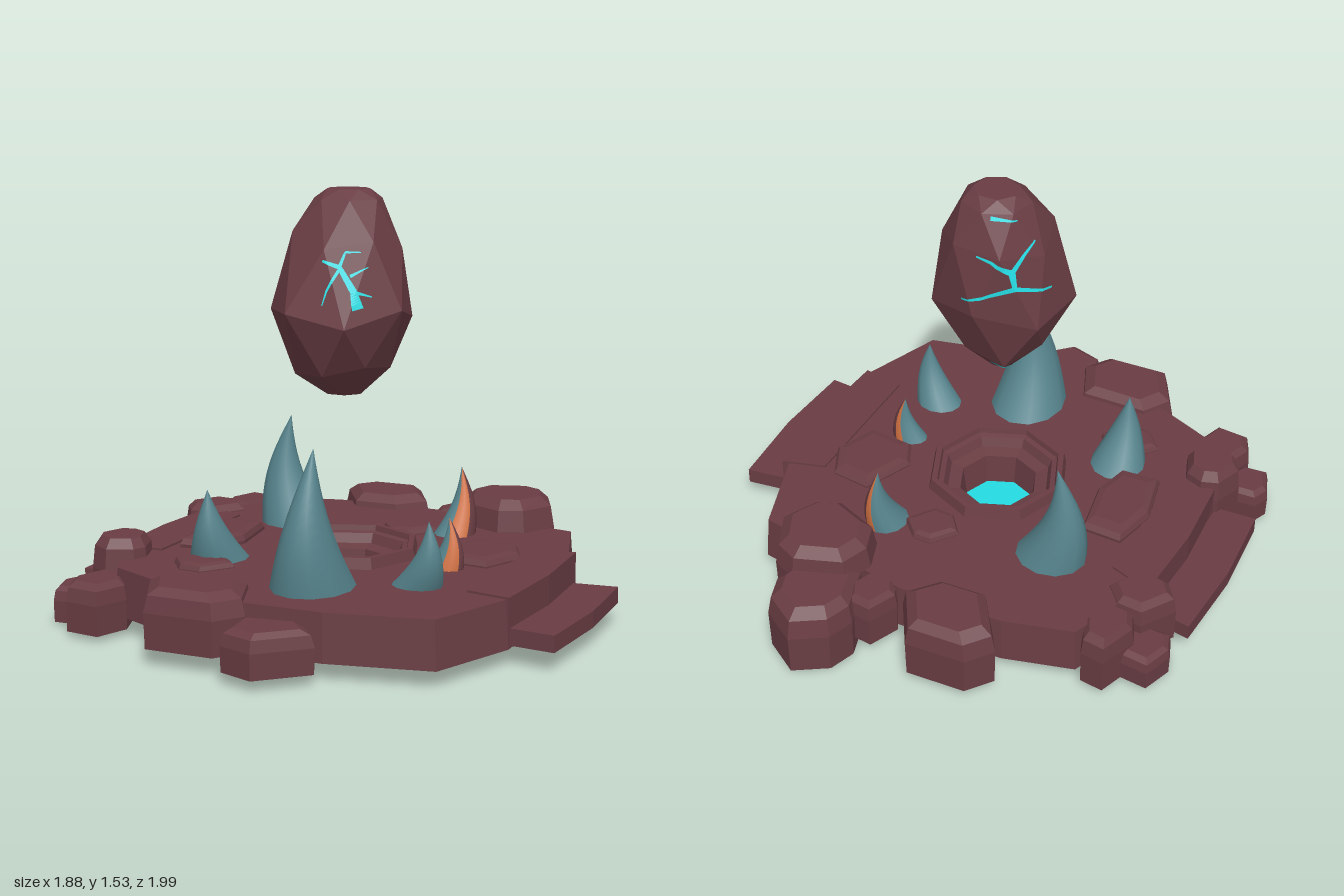
import * as THREE from 'three';
import { ConvexGeometry } from 'three/addons/geometries/ConvexGeometry.js';

const V = (x, y, z) => new THREE.Vector3(x, y, z);

function material(name, color) {
  const m = new THREE.MeshStandardMaterial({ color, side: THREE.DoubleSide });
  m.name = name;
  return m;
}

function geometryFrom(points) {
  const g = new THREE.BufferGeometry().setFromPoints(points);
  g.computeVertexNormals();
  return g;
}

// Faceted block: an outline in x and z stacked at [y, scale] levels, open below
function blockGeometry(outline, levels, capped = true) {
  const pts = outline.map((p) => p.clone());
  if (THREE.ShapeUtils.area(pts) > 0) pts.reverse();
  const n = pts.length, top = levels.length - 1, tris = [];
  const c = pts.reduce((s, p) => s.add(p), new THREE.Vector2()).divideScalar(n);
  const at = (i, l) => {
    const p = pts[i % n], [y, s] = levels[l];
    return V(c.x + (p.x - c.x) * s, y, c.y + (p.y - c.y) * s);
  };
  for (let i = 0; i < n; i++) {
    for (let l = 0; l < top; l++) {
      const a = at(i, l), b = at(i + 1, l), d = at(i, l + 1), e = at(i + 1, l + 1);
      tris.push(a, b, e, a, e, d);
    }
    if (capped) tris.push(at(i, top), at(i + 1, top), V(c.x, levels[top][0], c.y));
  }
  return geometryFrom(tris);
}

// Irregular outline fitted to the given centre and half-sizes
function rockOutline(x, z, rx, rz, sides) {
  const pts = [];
  for (let i = 0; i < sides; i++) {
    const a = ((i + 0.2 * Math.sin(i * 2.3 + x * 9 + z * 5)) / sides) * Math.PI * 2;
    pts.push(new THREE.Vector2(Math.cos(a), Math.sin(a)));
  }
  const box = new THREE.Box2().setFromPoints(pts);
  const mid = box.getCenter(new THREE.Vector2()), size = box.getSize(new THREE.Vector2());
  const scale = new THREE.Vector2(2 * rx, 2 * rz).divide(size);
  return pts.map((p) => p.sub(mid).multiply(scale).add(new THREE.Vector2(x, z)));
}

// Curved horn from base to tip, bowed sideways; one group per side
const SIDES = 12, RINGS = 12;
function hornGeometry([bx, bz], [rx, rz], [tx, ty, tz], [bowX, bowZ], pick) {
  const pts = [], index = [], y0 = 0.19;
  for (let j = 0; j <= RINGS; j++) {
    const t = j / RINGS, bow = Math.sin(Math.PI * t), r = Math.max(0.004, 1 - t);
    for (let i = 0; i < SIDES; i++) {
      const a = (i / SIDES) * Math.PI * 2;
      pts.push(V(bx + (tx - bx) * t + bowX * bow + Math.cos(a) * rx * r,
        y0 + (ty - y0) * t,
        bz + (tz - bz) * t + bowZ * bow + Math.sin(a) * rz * r));
    }
  }
  const g = new THREE.BufferGeometry().setFromPoints(pts);
  for (let i = 0; i < SIDES; i++) {
    for (let j = 0; j < RINGS; j++) {
      const a = j * SIDES + i, b = j * SIDES + (i + 1) % SIDES;
      index.push(a, a + SIDES, b, b, a + SIDES, b + SIDES);
    }
    g.addGroup(i * RINGS * 6, RINGS * 6, pick(i));
  }
  g.setIndex(index);
  g.computeVertexNormals();
  return g;
}

export function createModel() {
  const model = new THREE.Group();
  model.name = 'floatingEggAltar';
  const rock = material('darkRedRock', 0x693d43);
  const horn = material('blueGreyHorn', 0x56838c);
  const ember = material('orangeCore', 0xcf7040);
  const glow = material('cyanGlow', 0x24dce2);
  const add = (name, geometry, mat) => {
    const m = new THREE.Mesh(geometry, mat);
    m.name = name;
    model.add(m);
    return m;
  };

  // Hollow platform slab with a well opening
  const slab = [[-0.62, -0.57], [-0.37, -0.64], [0.03, -0.66], [0.63, -0.57], [0.74, -0.25], [0.75, 0.37], [0.63, 0.68],
    [0.27, 0.77], [-0.05, 0.79], [-0.42, 0.69], [-0.62, 0.61], [-0.76, 0.33], [-0.76, -0.2]].map((p) => new THREE.Vector2(...p));
  add('platformSides', blockGeometry(slab, [[0.06, 1.015], [0.23, 1]], false), rock);
  const shape = new THREE.Shape(slab.map((p) => new THREE.Vector2(p.x, -p.y)));
  const hole = new THREE.Path();
  hole.absarc(0, -0.05, 0.22, 0, Math.PI * 2, true);
  shape.holes.push(hole);
  add('platformTop', new THREE.ShapeGeometry(shape, 4).rotateX(-Math.PI / 2).translate(0, 0.23, 0), rock);

  // Octagonal stepped well with a glowing floor
  const profile = [[0.275, 0.22], [0.262, 0.27], [0.24, 0.27], [0.235, 0.25], [0.215, 0.245], [0.2, 0.21], [0.15, 0.2], [0.135, 0.08]];
  const well = new THREE.LatheGeometry(profile.map((p) => new THREE.Vector2(...p)), 8).toNonIndexed();
  well.computeVertexNormals();
  add('wellRim', well.translate(0, 0, 0.05), rock);
  add('wellGlow', new THREE.CircleGeometry(0.14, 16).rotateX(-Math.PI / 2).translate(0, 0.085, 0.05), glow);

  // Stepped slabs on both sides
  for (const s of [1, -1]) {
    const step = (name, x, y0, y1) => add(name, blockGeometry(
      [[0.6, -0.22], [x, -0.27], [x + 0.02, 0.05], [x, 0.37], [0.6, 0.35]].map(([px, pz]) => new THREE.Vector2(px * s, pz)),
      [[y0, 1], [y1, 1]]), rock);
    step('lowerStep', 0.922, 0.07, 0.13);
    step('upperStep', 0.76, 0.12, 0.238);
  }

  // Rocks: centre x, z, half-sizes x, z, bottom and top
  const addRock = (name, x, z, rx, rz, y0, y1, sides = 6) => {
    const h = y1 - y0;
    add(name, blockGeometry(rockOutline(x, z, rx, rz, sides),
      [[y0, 0.98], [y0 + h * 0.6, 1], [y0 + h * 0.88, 0.92], [y1, 0.7]]), rock);
  };
  addRock('backBlock', -0.2, -0.705, 0.2, 0.145, 0.04, 0.28);
  addRock('backBoulder', 0.285, -0.79, 0.16, 0.21, 0, 0.26, 8);
  addRock('tallBoulder', 0.36, -0.61, 0.19, 0.18, 0.06, 0.345, 8);
  addRock('backPebble', 0.11, -0.71, 0.09, 0.09, 0.05, 0.24);
  addRock('backCornerLowRock', -0.82, -0.42, 0.09, 0.095, 0.02, 0.14);
  addRock('backCornerMiddleRock', -0.7, -0.48, 0.09, 0.115, 0.02, 0.24);
  addRock('backCornerTallRock', -0.745, -0.29, 0.125, 0.1, 0.05, 0.26);
  addRock('frontCornerTallRock', -0.71, 0.43, 0.11, 0.115, 0.01, 0.3, 8);
  addRock('frontCornerLowRock', -0.82, 0.565, 0.085, 0.09, 0.01, 0.14);
  addRock('frontCornerMiddleRock', -0.67, 0.645, 0.105, 0.12, 0.02, 0.2);
  addRock('frontBlock', -0.21, 0.765, 0.21, 0.145, 0.06, 0.27);
  addRock('frontRock', 0.125, 0.87, 0.155, 0.12, 0.04, 0.19, 5);
  addRock('leftFlatStone', 0.465, -0.1, 0.145, 0.15, 0.2, 0.26);
  addRock('rightFlatStone', -0.495, 0.095, 0.115, 0.185, 0.2, 0.27);
  addRock('backFlatStone', 0.075, -0.325, 0.105, 0.085, 0.2, 0.255);
  addRock('frontFlatStone', -0.365, 0.45, 0.115, 0.09, 0.2, 0.255);

  // Horns; the broken ones show an orange core between horn and rock shell
  const whole = () => 0;
  const broken = (i) => (i > 2 && i < 9 ? 0 : i === 0 || i > 9 ? 2 : 1);
  const addHorn = (name, ...shapeArgs) => add(name, hornGeometry(...shapeArgs), [horn, ember, rock]);
  addHorn('frontHorn', [0.1, 0.495], [0.155, 0.18], [0.115, 0.71, 0.53], [0.005, 0.06], whole);
  addHorn('backHorn', [-0.355, -0.25], [0.145, 0.13], [-0.395, 0.64, -0.265], [-0.045, 0], whole);
  addHorn('rightHorn', [-0.37, 0.3], [0.12, 0.125], [-0.375, 0.49, 0.4], [0, 0.03], whole);
  addHorn('leftHorn', [0.385, 0.325], [0.105, 0.09], [0.47, 0.465, 0.375], [0.035, 0.02], whole);
  addHorn('brokenBackHorn', [0.235, -0.345], [0.09, 0.1], [0.255, 0.475, -0.4], [0.02, -0.02], broken);
  addHorn('brokenLeftHorn', [0.39, 0.1], [0.085, 0.065], [0.42, 0.41, 0.09], [0.025, 0], broken);

  // Floating faceted egg: staggered seven-sided rings of height, centre z, radius
  const eggRings = [[0.812, 0.04, 0.075], [0.9, 0.05, 0.175], [1.1, 0.053, 0.262], [1.36, 0.012, 0.2], [1.5, 0, 0.125], [1.535, 0, 0.08]];
  const eggPoints = eggRings.flatMap(([y, cz, r], j) => Array.from({ length: 7 }, (_, i) => {
    const a = ((i + (j % 2) * 0.5) / 7) * Math.PI * 2 + 0.2;
    const wobble = j > 0 && j < 4 ? 0.03 * Math.sin(i * 2.4 + j) : 0;
    return V(-0.018 + Math.cos(a) * r, y + wobble, cz + Math.sin(a) * r * 0.95);
  }));
  const egg = add('egg', new ConvexGeometry(eggPoints), rock);

  // Glowing cracks: tapering ribbons projected onto the egg from one side
  const ray = new THREE.Raycaster();
  function crack(azimuth, width, path) {
    const dir = V(Math.sin(azimuth), 0, Math.cos(azimuth)), right = V(dir.z, 0, -dir.x);
    const project = (p) => {
      ray.set(V(-0.01, p.y, 0.04).addScaledVector(dir, 2).addScaledVector(right, p.x), dir.clone().negate());
      return ray.intersectObject(egg)[0].point.addScaledVector(dir, 0.006);
    };
    const pts = path.map((p) => new THREE.Vector2(...p));
    const tris = [], steps = 8, spans = pts.length - 1;
    let last = null;
    for (let k = 0; k <= spans * steps; k++) {
      const i = Math.min(Math.floor(k / steps), spans - 1);
      const p = pts[i].clone().lerp(pts[i + 1], k / steps - i);
      const d = pts[i + 1].clone().sub(pts[i]).normalize();
      const w = width * (1 - 0.7 * k / (spans * steps));
      const off = new THREE.Vector2(-d.y * w, d.x * w);
      const a = project(p.clone().add(off)), b = project(p.clone().sub(off));
      if (last) tris.push(last[0], last[1], b, last[0], b, a);
      last = [a, b];
    }
    add('eggCrack', geometryFrom(tris), glow);
  }
  crack(0, 0.014, [[0.14, 1.14], [0.12, 1.2], [0.06, 1.28], [0, 1.3]]);
  crack(0, 0.006, [[0.06, 1.28], [0.07, 1.33], [0.12, 1.33]]);
  crack(0, 0.006, [[0.06, 1.27], [0.03, 1.2], [0.02, 1.15]]);
  crack(0, 0.006, [[0.1, 1.25], [0.15, 1.28]]);
  crack(0, 0.006, [[0.12, 1.2], [0.17, 1.18]]);
  const back = Math.PI * 7 / 6;
  crack(back, 0.01, [[0.03, 1.31], [-0.04, 1.35], [-0.09, 1.36]]);
  crack(back, 0.01, [[0.03, 1.31], [0.07, 1.36], [0.11, 1.4]]);
  crack(back, 0.012, [[0.03, 1.31], [0.04, 1.25], [0.17, 1.21]]);
  crack(back, 0.01, [[0.04, 1.25], [-0.05, 1.22], [-0.14, 1.18]]);
  crack(back, 0.007, [[-0.04, 1.49], [0.05, 1.48]]);
  crack(back, 0.006, [[-0.04, 0.88], [0.05, 0.87]]);
  return model;
}
